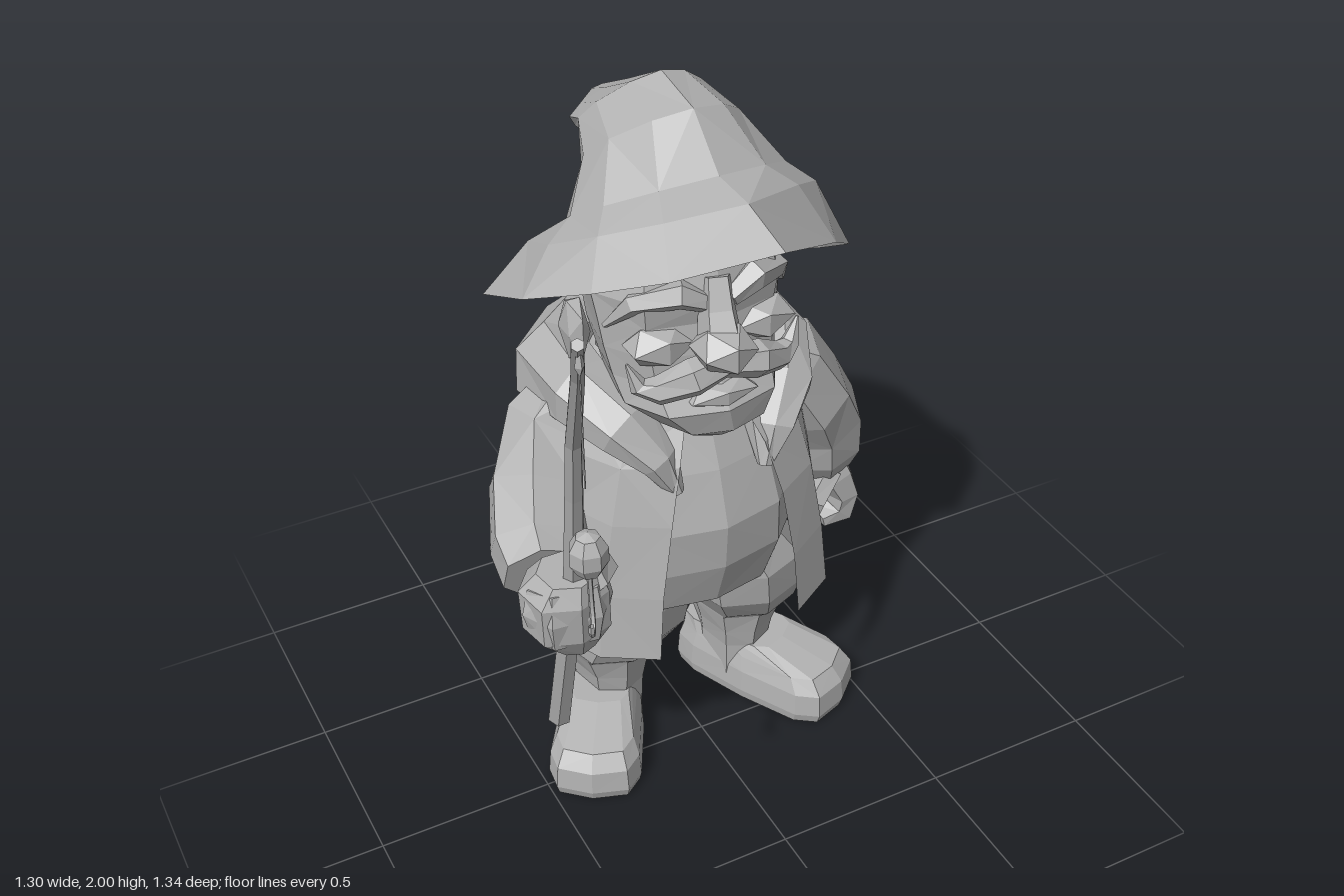
import * as THREE from 'three';

const V = (x, y, z) => new THREE.Vector3(x, y, z);
const grey = new THREE.MeshStandardMaterial({ color: 0xb2b2b2, side: THREE.DoubleSide });
grey.name = 'plainGrey';

// Faceted mesh: every face gets its own flat normal
function facet(name, geo) {
  const g = geo.index ? geo.toNonIndexed() : geo;
  g.deleteAttribute('uv');
  g.computeVertexNormals();
  const mesh = new THREE.Mesh(g, grey);
  mesh.name = name;
  return mesh;
}

// Skin a list of point rings; closed rings can be capped at both ends
function loft(name, rings, { closed = true, caps = true } = {}) {
  const n = rings[0].length, pos = [], idx = [];
  rings.forEach(r => r.forEach(p => pos.push(p.x, p.y, p.z)));
  const last = (rings.length - 1) * n;
  for (let i = 0; i < rings.length - 1; i++)
    for (let j = 0; j < (closed ? n : n - 1); j++) {
      const k = (j + 1) % n, a = i * n, b = a + n;
      if ((i + j) % 2) idx.push(a + j, a + k, b + k, a + j, b + k, b + j);
      else idx.push(a + j, a + k, b + j, a + k, b + k, b + j);
    }
  if (closed && caps) {
    const mid = r => r.reduce((s, p) => s.add(p), V(0, 0, 0)).divideScalar(n);
    const c0 = mid(rings[0]), c1 = mid(rings[rings.length - 1]), m = pos.length / 3;
    pos.push(c0.x, c0.y, c0.z, c1.x, c1.y, c1.z);
    for (let j = 0; j < n; j++) {
      const k = (j + 1) % n;
      idx.push(m, k, j, m + 1, last + j, last + k);
    }
  }
  const g = new THREE.BufferGeometry();
  g.setAttribute('position', new THREE.Float32BufferAttribute(pos, 3));
  g.setIndex(idx);
  return facet(name, g);
}

// Section curve; e = 1 is an ellipse, smaller is squarer, larger is more pointed
const pw = (v, e) => Math.sign(v) * Math.abs(v) ** e;
function section(c, u, v, n, e = 1, a0 = 0) {
  const count = a0 ? n + 1 : n;
  return Array.from({ length: count }, (_, i) => {
    const a = a0 + (i / n) * (Math.PI * 2 - 2 * a0);
    return c.clone().addScaledVector(u, pw(Math.cos(a), e)).addScaledVector(v, pw(Math.sin(a), e));
  });
}

// Stack of horizontal sections: [y, cx, cz, rx, rz]; taper widens the front
const stack = (name, rows, n = 10, e = 0.85, taper = 0) => loft(name,
  rows.map(([y, cx, cz, rx, rz]) => section(V(cx, y, cz), V(0, 0, rz), V(rx, 0, 0), n, e)
    .map(p => V(p.x * (1 + taper * p.z), p.y, p.z))));

// Limb along a path: [x, y, z, r1, r2]; r2 lies closest to the ref direction
function limb(name, pts, n = 7, ref = V(0, 0, 1)) {
  const p = pts.map(q => V(q[0], q[1], q[2]));
  return loft(name, p.map((c, i) => {
    const t = p[Math.min(i + 1, p.length - 1)].clone().sub(p[Math.max(i - 1, 0)]).normalize();
    const u = ref.clone().cross(t).normalize(), v = t.clone().cross(u);
    const [, , , r1, r2 = r1] = pts[i];
    return section(c, u.multiplyScalar(r1), v.multiplyScalar(r2), n);
  }));
}

function blob(name, [x, y, z], [sx, sy, sz]) {
  const g = new THREE.IcosahedronGeometry(1, 0);
  g.scale(sx, sy, sz).translate(x, y, z);
  return facet(name, g);
}

function hat() {
  const g = new THREE.Group();
  g.name = 'hat';
  // Crown sections: front y, front z, back y, back z, half width, pointedness; the tip folds backwards
  const crown = [
    [1.85, 0.05, 1.56, -0.41, 0.29, 1], [1.97, -0.08, 1.66, -0.45, 0.21, 1.1],
    [2.0, -0.25, 1.72, -0.485, 0.175, 1.25], [1.9, -0.44, 1.72, -0.52, 0.15, 1.2],
    [1.82, -0.6, 1.72, -0.59, 0.06, 1], [1.7, -0.665, 1.65, -0.58, 0.03, 1],
  ].map(([fy, fz, by, bz, w, e]) => section(V(0.02, (fy + by) / 2, (fz + bz) / 2),
    V(0, (fy - by) / 2, (fz - bz) / 2), V(w, 0, 0), 12, e));
  g.add(loft('hatCrown', crown));
  // Drooping brim, from the front tip round by the left side
  const outer = [
    [0.05, 1.77, 0.32], [0.32, 1.62, 0.11], [0.45, 1.51, -0.03], [0.46, 1.42, -0.18],
    [0.34, 1.34, -0.37], [0.17, 1.31, -0.52], [-0.05, 1.31, -0.56], [-0.29, 1.35, -0.5],
    [-0.46, 1.46, -0.32], [-0.46, 1.59, -0.05], [-0.35, 1.66, 0.11], [-0.21, 1.72, 0.24],
  ].map(p => V(...p));
  const inner = crown[0];
  const bend = inner.map((p, i) => {
    const q = p.clone().lerp(outer[i], 0.45);
    q.y = p.y + (outer[i].y - p.y) * 0.25;
    return q;
  });
  g.add(loft('hatBrim', [outer, bend, inner], { caps: false }));
  return g;
}

function head() {
  const g = new THREE.Group();
  g.name = 'head';
  g.position.x = -0.02;
  g.add(stack('skullAndBeard', [
    [1.14, 0.02, 0.06, 0.04, 0.05], [1.195, 0.02, 0.03, 0.15, 0.145], [1.27, 0, -0.01, 0.22, 0.2],
    [1.34, 0, -0.04, 0.235, 0.18], [1.42, 0, -0.06, 0.25, 0.2], [1.5, 0, -0.07, 0.26, 0.195],
    [1.57, 0, -0.09, 0.27, 0.23], [1.7, 0, -0.12, 0.24, 0.22]], 9));
  g.add(blob('nose', [-0.02, 1.465, 0.19], [0.085, 0.065, 0.09]));
  g.add(limb('noseBridge', [[0, 1.62, 0.11, 0.04], [-0.01, 1.54, 0.14, 0.05], [-0.02, 1.47, 0.18, 0.06]], 5));
  g.add(blob('lowerLip', [0, 1.3, 0.14], [0.11, 0.035, 0.05]));
  for (const s of [-1, 1]) {
    g.add(limb('moustache', [[0, 1.4, 0.16, 0.04], [s * 0.09, 1.385, 0.165, 0.05],
      [s * 0.17, 1.35, 0.13, 0.038], [s * 0.215, 1.365, 0.11, 0.025], [s * 0.24, 1.43, 0.1, 0.004]], 6, V(0, 1, 0.2)));
    g.add(limb('eyebrow', [[s * 0.03, 1.56, 0.13, 0.025], [s * 0.1, 1.6, 0.12, 0.04],
      [s * 0.2, 1.57, 0.06, 0.03], [s * 0.25, 1.49, 0.0, 0.008]], 5, V(0, 1, 0.2)));
    g.add(blob('cheek', [s * 0.14, 1.45, 0.08], [0.1, 0.06, 0.07]));
    g.add(blob('ear', [s * 0.27, 1.41, -0.14], [0.035, 0.1, 0.065]));
  }
  return g;
}

function coat() {
  const g = new THREE.Group();
  g.name = 'coat';
  // Open sections: y, centre z, half width, half depth, x of the front edge
  const e = 0.85;
  g.add(loft('coatBody', [
    [0.5, -0.11, 0.425, 0.31, 0.215], [0.7, -0.12, 0.405, 0.31, 0.2], [0.92, -0.135, 0.37, 0.305, 0.165],
    [1.08, -0.15, 0.34, 0.28, 0.125], [1.19, -0.18, 0.29, 0.25, 0.08], [1.27, -0.2, 0.19, 0.17, 0.04],
  ].map(([y, cz, rx, rz, x]) => section(V(0, y, cz), V(0, 0, rz), V(rx, 0, 0), 11, e,
    Math.asin((x / rx) ** (1 / e)))), { closed: false }));
  // Hood slumped round the neck, ending in two short lapels
  const half = [[0.13, 1.0, 0.11, 0.02, 0.02], [0.16, 1.1, 0.08, 0.07, 0.04], [0.22, 1.18, 0.01, 0.1, 0.07],
    [0.28, 1.22, -0.12, 0.1, 0.1], [0.29, 1.2, -0.29, 0.11, 0.14], [0.18, 1.18, -0.41, 0.11, 0.16]];
  g.add(limb('hood', [...half, [0, 1.17, -0.45, 0.11, 0.17],
    ...half.slice().reverse().map(([x, ...r]) => [-x, ...r])], 7, V(0, 1, 0.15)));
  // Sleeves
  g.add(limb('leftSleeve', [[0.2, 1.19, -0.2, 0.1, 0.13], [0.34, 1.09, -0.21, 0.14, 0.16],
    [0.43, 0.95, -0.23, 0.14, 0.18], [0.5, 0.82, -0.26, 0.145, 0.165], [0.52, 0.7, -0.255, 0.13, 0.14],
    [0.53, 0.64, -0.25, 0.09, 0.1]], 7));
  g.add(limb('rightSleeve', [[-0.2, 1.19, -0.23, 0.1, 0.13], [-0.33, 1.07, -0.23, 0.13, 0.15],
    [-0.41, 0.94, -0.15, 0.14, 0.15], [-0.47, 0.86, -0.02, 0.135, 0.13], [-0.49, 0.83, 0.06, 0.115, 0.12]], 7, V(0, 1, 0.5)));
  return g;
}

function hands() {
  const g = new THREE.Group();
  g.name = 'hands';
  // Hanging left hand with the fingers curled together
  g.add(limb('leftHand', [[0.52, 0.7, -0.245, 0.07, 0.08], [0.55, 0.62, -0.245, 0.07, 0.1],
    [0.585, 0.54, -0.245, 0.055, 0.1], [0.575, 0.475, -0.245, 0.055, 0.09], [0.51, 0.46, -0.245, 0.03, 0.075]], 6));
  g.add(limb('leftThumb', [[0.53, 0.65, -0.19, 0.04], [0.465, 0.57, -0.17, 0.04], [0.455, 0.49, -0.18, 0.025]], 5));
  // Right fist gripping the rod, with knuckles at the front
  g.add(stack('rightFist', [[0.685, -0.47, 0.19, 0.05, 0.05], [0.76, -0.485, 0.18, 0.115, 0.1],
    [0.88, -0.49, 0.18, 0.115, 0.11], [0.935, -0.48, 0.19, 0.08, 0.08]], 7));
  g.add(limb('rightKnuckles', [[-0.57, 0.83, 0.17, 0.04, 0.08], [-0.545, 0.83, 0.24, 0.035, 0.1],
    [-0.44, 0.83, 0.25, 0.035, 0.1], [-0.39, 0.83, 0.19, 0.03, 0.08]], 6, V(0, 1, 0)));
  g.add(limb('rightThumb', [[-0.39, 0.82, 0.12, 0.035], [-0.38, 0.9, 0.18, 0.04], [-0.43, 0.92, 0.25, 0.03]], 5, V(1, 0, 0)));
  return g;
}

function leg(s) {
  const g = new THREE.Group();
  g.name = s > 0 ? 'leftLeg' : 'rightLeg';
  g.add(stack('trouserLeg', [[0.3, s * 0.215, -0.2, 0.12, 0.14], [0.36, s * 0.215, -0.17, 0.15, 0.175],
    [0.45, s * 0.19, -0.135, 0.175, 0.19], [0.56, s * 0.175, -0.13, 0.18, 0.2], [0.66, s * 0.13, -0.13, 0.15, 0.18]], 8));
  // Broad foot turned outward, then an upright shaft with a folded cuff
  const foot = stack('bootFoot', [[0, 0, 0, 0.12, 0.27], [0.03, 0, 0, 0.125, 0.28], [0.1, 0, 0, 0.12, 0.275],
    [0.145, 0, -0.01, 0.105, 0.25], [0.185, 0, -0.09, 0.09, 0.16]], 12, 0.55, 0.8);
  foot.position.set(s * 0.27, 0, -0.12);
  foot.rotation.y = s * 0.54;
  g.add(foot);
  g.add(stack('bootShaft', [[0.05, s * 0.21, -0.215, 0.09, 0.14], [0.18, s * 0.21, -0.21, 0.095, 0.14],
    [0.24, s * 0.21, -0.205, 0.105, 0.145], [0.31, s * 0.215, -0.2, 0.13, 0.155],
    [0.35, s * 0.22, -0.2, 0.145, 0.165], [0.36, s * 0.22, -0.2, 0.12, 0.14]], 8));
  return g;
}

function fishingRod() {
  const g = new THREE.Group();
  g.name = 'fishingRod';
  g.add(limb('rod', [[-0.455, 0.26, 0.01, 0.034], [-0.47, 0.88, 0.2, 0.031], [-0.5, 1.25, 0.3, 0.025],
    [-0.52, 1.45, 0.36, 0.022], [-0.57, 1.74, 0.52, 0.018], [-0.617, 1.9, 0.635, 0.015]], 6));
  const x = -0.61, z = 0.625;
  g.add(limb('lineGuide', [[x, 1.88, z, 0.005], [x, 1.84, z, 0.012], [x, 1.82, z, 0.003]], 4));
  g.add(limb('line', [[x, 1.84, z, 0.002], [x, 1.53, z, 0.002]], 4));
  g.add(facet('float', new THREE.SphereGeometry(1, 7, 5).scale(0.048, 0.062, 0.048).translate(x, 1.35, z)));
  const hook = new THREE.CatmullRomCurve3([V(x, 1.3, z), V(-0.604, 1.19, 0.617), V(-0.608, 1.15, 0.63),
    V(-0.618, 1.14, 0.65), V(-0.627, 1.155, 0.664), V(-0.628, 1.18, 0.666)]);
  g.add(facet('hook', new THREE.TubeGeometry(hook, 12, 0.007, 5)));
  return g;
}

export function createModel() {
  const model = new THREE.Group();
  model.name = 'fisherman';
  // Round belly, shirt and neck under the coat
  model.add(stack('torso', [[0.5, 0, -0.13, 0.1, 0.13], [0.57, 0, -0.13, 0.27, 0.22], [0.72, 0, -0.13, 0.31, 0.27],
    [0.86, 0, -0.13, 0.3, 0.28], [1.02, 0, -0.14, 0.27, 0.24], [1.16, 0, -0.15, 0.2, 0.19], [1.28, 0, -0.12, 0.13, 0.13]], 11));
  model.add(hat(), head(), coat(), hands(), leg(1), leg(-1), fishingRod());
  return model;
}
